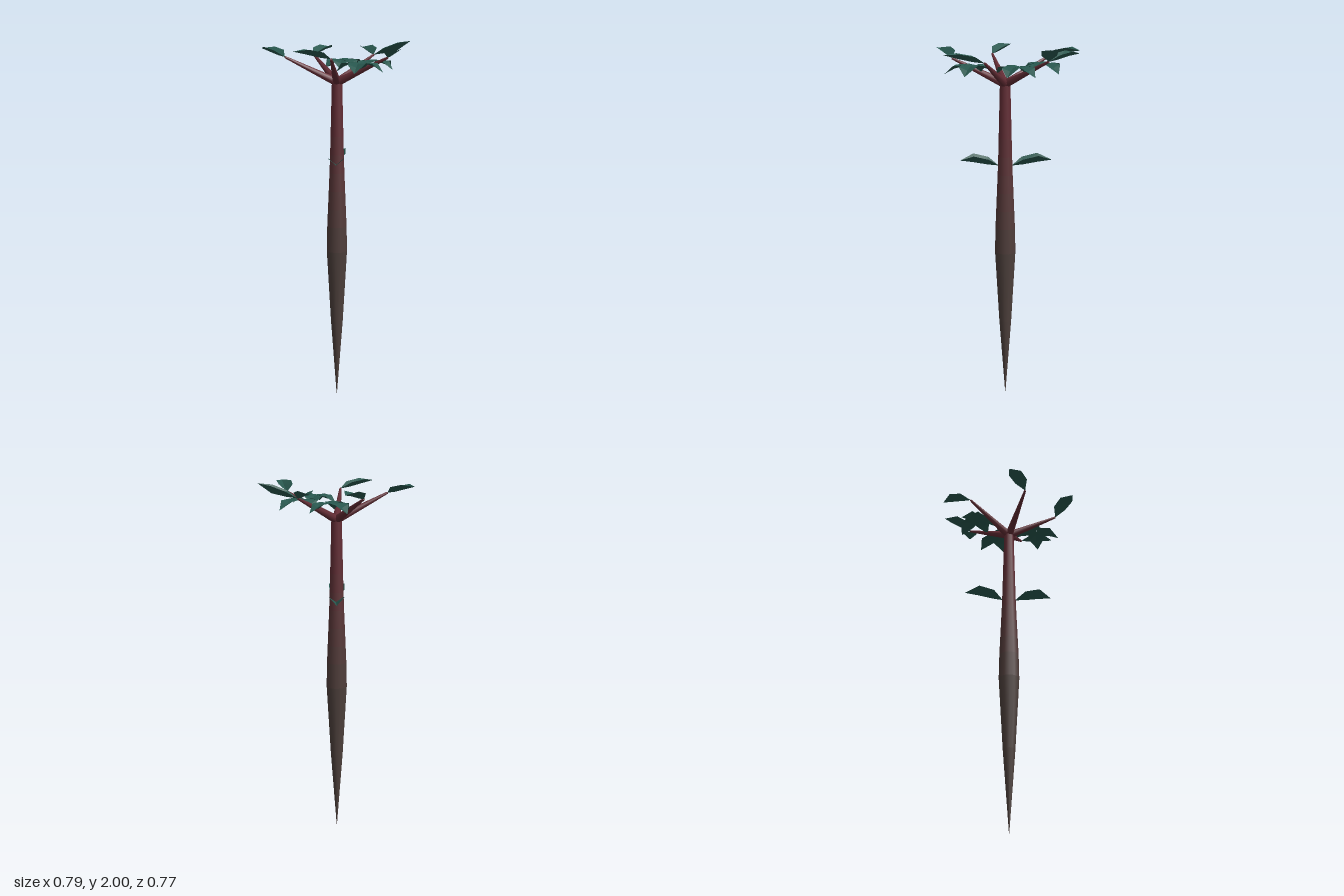
import * as THREE from 'three';

const V = (x, y, z) => new THREE.Vector3(x, y, z);
const LEAF = 0x28574e, BARK_LOW = 0x4c3f3b, BARK_TOP = 0x622c34;
const CX = 0.015, CZ = 0.005;

function add(parent, name, geometry, color, flat = false) {
  const material = new THREE.MeshStandardMaterial({ color, flatShading: flat, side: THREE.DoubleSide });
  const mesh = new THREE.Mesh(geometry, material);
  mesh.name = name;
  parent.add(mesh);
  return mesh;
}

// Folded leaf: a low spine from base to tip with two raised corners on each side
function leaf(base, tip, half, edgeLift, spineLift) {
  const along = tip.clone().sub(base);
  const side = V(-along.z, 0, along.x).normalize();
  const at = (s, w, lift) => V(base.x + along.x * s + side.x * w, base.y + lift, base.z + along.z * s + side.z * w);
  const p = [
    base,
    at(0.26, half * 0.9, edgeLift[0]), at(0.28, 0, spineLift[0]), at(0.26, -half * 0.9, edgeLift[0]),
    at(0.65, half * 0.95, edgeLift[1]), at(0.65, 0, spineLift[1]), at(0.65, -half * 0.95, edgeLift[1]),
    tip,
  ];
  const g = new THREE.BufferGeometry().setFromPoints(p);
  g.setIndex([0, 1, 2, 0, 2, 3, 1, 4, 5, 1, 5, 2, 2, 5, 6, 2, 6, 3, 4, 7, 5, 5, 7, 6]);
  const flat = g.toNonIndexed();
  flat.computeVertexNormals();
  return flat;
}

function trunk(group) {
  // Tapered bark in bands that redden towards the crown
  const knots = [[0, 0.001], [0.45, 0.034], [0.86, 0.057], [1.0, 0.054], [1.35, 0.039], [1.79, 0.028]];
  const radius = (y) => {
    const i = Math.max(1, knots.findIndex((k) => k[0] >= y));
    const [a, b] = [knots[i - 1], knots[i]];
    return THREE.MathUtils.lerp(a[1], b[1], (y - a[0]) / (b[0] - a[0]));
  };
  const ys = [0, 0.45, 0.86, 1.0, 1.1, 1.2, 1.3, 1.4, 1.5, 1.6, 1.79];
  for (let i = 1; i < ys.length; i++) {
    const [y0, y1] = [ys[i - 1], ys[i]];
    const g = new THREE.CylinderGeometry(radius(y1), radius(y0), y1 - y0, 12, 1, true);
    g.translate(CX, (y0 + y1) / 2, CZ);
    const t = THREE.MathUtils.clamp(((y0 + y1) / 2 - 0.85) / 0.75, 0, 1);
    add(group, 'trunk', g, new THREE.Color(BARK_LOW).lerp(new THREE.Color(BARK_TOP), t));
  }
  const cap = new THREE.SphereGeometry(0.028, 12, 6).translate(CX, 1.79, CZ);
  add(group, 'trunkTop', cap, BARK_TOP);
}

function branch(group, x, z) {
  const from = V(CX, 1.79, CZ), to = V(x, 1.925, z);
  const dir = to.clone().sub(from);
  const g = new THREE.CylinderGeometry(0.006, 0.023, dir.length(), 8);
  const mesh = add(group, 'branch', g, BARK_TOP);
  mesh.position.copy(from).addScaledVector(dir, 0.5);
  mesh.quaternion.setFromUnitVectors(V(0, 1, 0), dir.normalize());
}

export function createModel() {
  const model = new THREE.Group();
  model.name = 'sapling';
  trunk(model);

  // Five branches, each with the tips of its end leaves: x, z, rise
  const branches = [
    [-0.145, -0.225, [[-0.063, -0.388, 0.035]]],
    [0.19, -0.225, [[0.107, -0.383, 0.035], [0.392, -0.235, 0.075]]],
    [0.29, 0.092, [[0.35, 0.29, 0.045]]],
    [0.02, 0.285, [[-0.157, 0.375, 0.04]]],
    [-0.25, 0.09, [[-0.395, -0.006, 0.042]]],
  ];
  for (const [x, z, tips] of branches) {
    branch(model, x, z);
    for (const [tx, tz, rise] of tips) {
      const g = leaf(V(x, 1.925, z), V(tx, 1.925 + rise, tz), 0.043, [0.035, rise > 0.05 ? 0.065 : 0.05], [0.008, 0.025]);
      add(model, 'endLeaf', g, LEAF, true);
    }
  }

  // Drooping leaf rosettes below the branches: centre, then leaf tips
  const rosettes = [
    [0.02, -0.195, [[-0.067, -0.277], [0.125, -0.277], [0.105, -0.12], [0.02, -0.075], [-0.065, -0.12]]],
    [0.2, -0.06, [[0.294, -0.16], [0.31, -0.02], [0.145, 0.048], [0.103, -0.11]]],
    [0.15, 0.165, [[0.275, 0.195], [0.14, 0.312], [0.028, 0.13], [0.15, 0.045]]],
  ];
  for (const [x, z, tips] of rosettes) {
    const rosette = new THREE.Group();
    rosette.name = 'leafRosette';
    for (const [tx, tz] of tips) {
      const g = leaf(V(x, 1.895, z), V(tx, 1.855, tz), 0.048, [0.01, 0.005], [0.005, -0.012]);
      add(rosette, 'rosetteLeaf', g, LEAF, true);
    }
    model.add(rosette);
  }

  // Opposite pair of leaves halfway up the trunk
  for (const s of [1, -1]) {
    const g = leaf(V(CX, 1.35, CZ + s * 0.035), V(CX + s * 0.025, 1.38, s * 0.248), 0.046, [0.04, 0.06], [0.006, 0.02]);
    add(model, 'trunkLeaf', g, LEAF, true);
  }
  return model;
}
